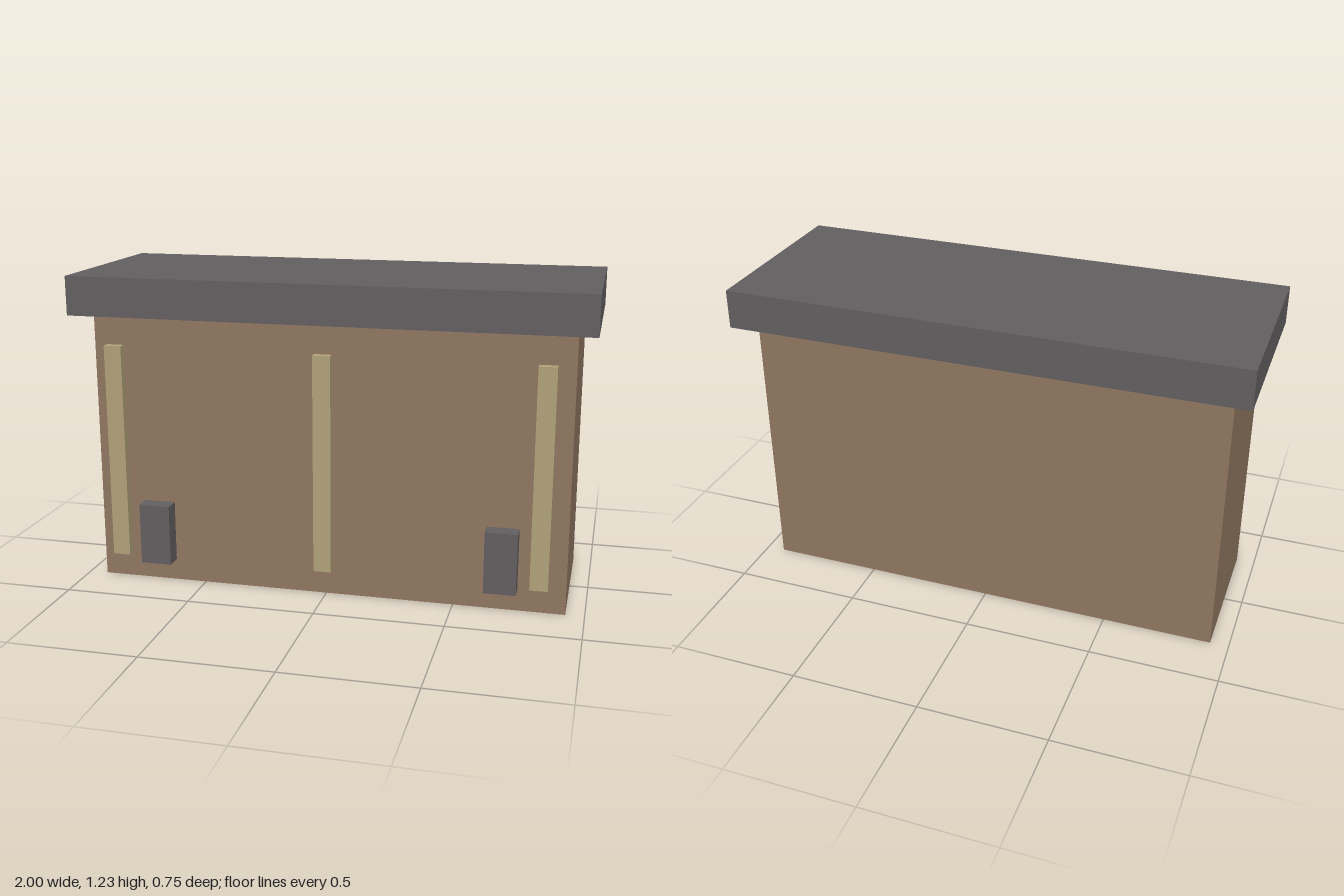
import * as THREE from 'three';

const brown = new THREE.MeshStandardMaterial({ color: 0x8f7560 });
const slate = new THREE.MeshStandardMaterial({ color: 0x625e60 });
const tan = new THREE.MeshStandardMaterial({ color: 0xb0a078 });

export function createModel() {
  const model = new THREE.Group();
  model.name = 'building';

  // Box given by its centre x, width, and its y and z ranges
  const box = (name, material, x, width, [y0, y1], [z0, z1]) => {
    const mesh = new THREE.Mesh(new THREE.BoxGeometry(width, y1 - y0, z1 - z0), material);
    mesh.position.set(x, (y0 + y1) / 2, (z0 + z1) / 2);
    mesh.name = name;
    model.add(mesh);
  };

  // Solid walls and overhanging flat roof
  box('walls', brown, 0, 1.856, [0, 1.078], [-0.292, 0.292]);
  box('roof', slate, 0, 2, [1.078, 1.23], [-0.377, 0.377]);

  // Upright strips standing just clear of the front wall
  for (const [name, x] of [['rightStrip', -0.829], ['middleStrip', 0], ['leftStrip', 0.829]]) {
    box(name, tan, x, 0.069, [0.113, 0.963], [0.325, 0.358]);
  }

  // Low blocks against the front wall
  for (const [name, side] of [['rightBlock', -1], ['leftBlock', 1]]) {
    box(name, slate, side * 0.684, 0.123, [0.085, 0.327], [0.292, 0.358]);
  }

  return model;
}
